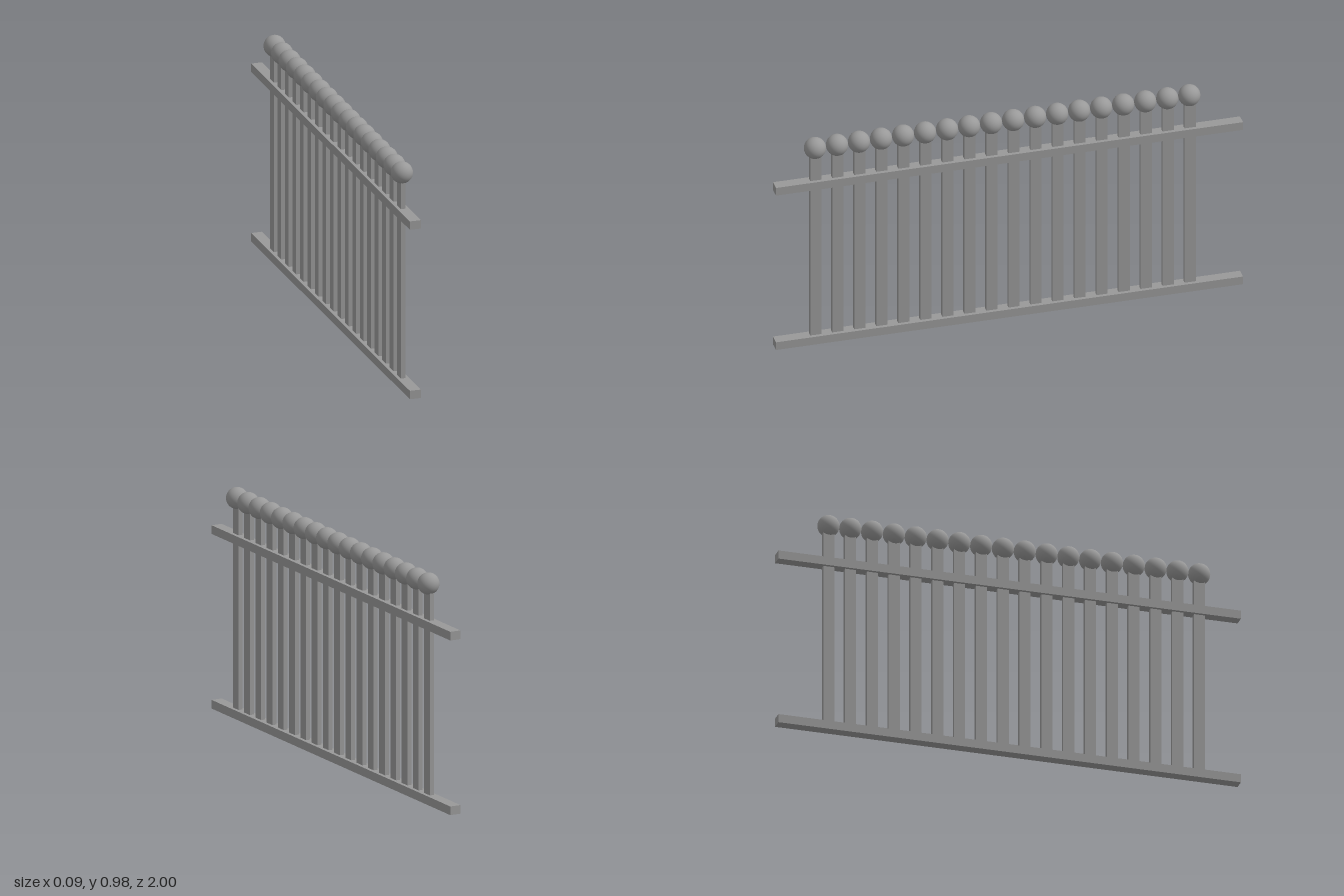
import * as THREE from 'three';

export function createModel() {
  const group = new THREE.Group();
  const material = new THREE.MeshStandardMaterial({ color: 0x999999 });

  const add = (name, geometry, x, y, z) => {
    const mesh = new THREE.Mesh(geometry, material);
    mesh.name = name;
    mesh.position.set(x, y, z);
    group.add(mesh);
  };

  // Two long rails running along z
  const railGeometry = new THREE.BoxGeometry(0.048, 0.037, 2);
  add('bottomRail', railGeometry, -0.001, 0.0185, 0);
  add('topRail', railGeometry, -0.001, 0.7645, 0);

  // Evenly spaced flat pickets, each topped by a ball finial
  const count = 18, firstZ = 0.827, lastZ = -0.776;
  const bottom = 0.02, top = 0.91;
  const picketGeometry = new THREE.BoxGeometry(0.019, top - bottom, 0.048);
  const finialGeometry = new THREE.SphereGeometry(0.046, 32, 24);
  for (let i = 0; i < count; i++) {
    const z = THREE.MathUtils.lerp(firstZ, lastZ, i / (count - 1));
    add(`picket${i + 1}`, picketGeometry, -0.002, (top + bottom) / 2, z - 0.002);
    add(`finial${i + 1}`, finialGeometry, 0, 0.936, z);
  }

  return group;
}
